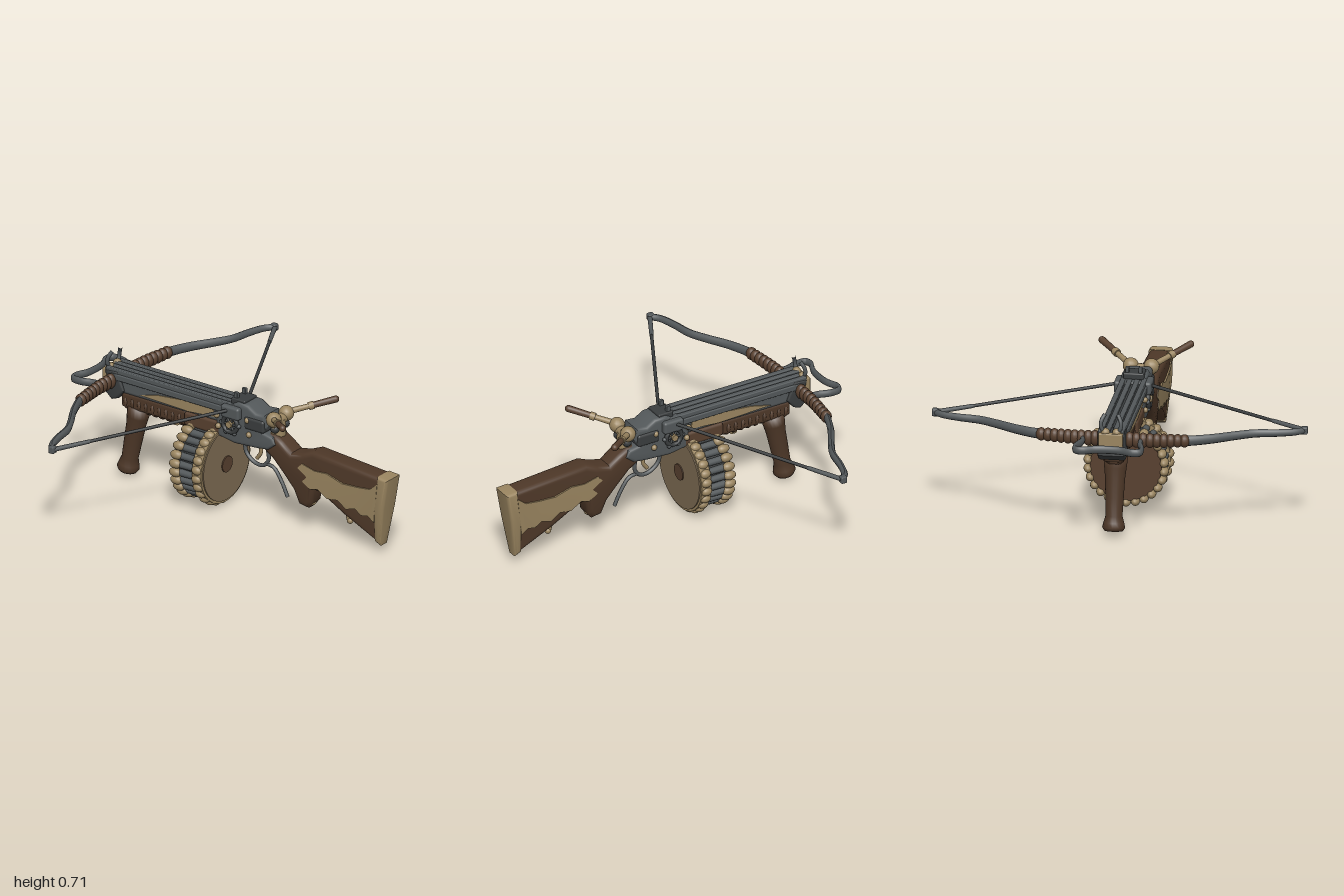
import * as THREE from 'three';
import { toCreasedNormals } from 'three/addons/utils/BufferGeometryUtils.js';
import { RoundedBoxGeometry } from 'three/addons/geometries/RoundedBoxGeometry.js';

const mat = (name, color) => new THREE.MeshStandardMaterial({ name, color });
const V = (x, y, z) => new THREE.Vector3(x, y, z);

export function createModel() {
  const iron = mat('iron', 0x53585a), darkIron = mat('darkIron', 0x3a3d3e);
  const wood = mat('wood', 0x4e3828), bone = mat('bone', 0x9a8560);
  const leather = mat('leather', 0x58402f), drumHide = mat('drumHide', 0x7d6b52);
  const model = new THREE.Group();

  const add = (name, geo, m, parent = model) => {
    const mesh = new THREE.Mesh(geo, m);
    mesh.name = name;
    parent.add(mesh);
    return mesh;
  };
  const group = (name) => {
    const g = new THREE.Group();
    g.name = name;
    model.add(g);
    return g;
  };
  // Rounded box given by its limits in x and y, and centre and width in z
  const box = (name, x0, x1, y0, y1, z, w, m, parent) => {
    const r = Math.min(x1 - x0, y1 - y0, w) * 0.2;
    const b = add(name, new RoundedBoxGeometry(x1 - x0, y1 - y0, w, 2, r), m, parent);
    b.position.set((x0 + x1) / 2, (y0 + y1) / 2, z);
    return b;
  };
  // Side profile extruded across z with rounded edges
  const slab = (pts, width, bevel) => {
    const shape = new THREE.Shape(pts.map(([x, y]) => new THREE.Vector2(x, y)));
    const depth = width - 2 * bevel;
    const g = new THREE.ExtrudeGeometry(shape, { depth, bevelEnabled: bevel > 0, bevelSize: bevel,
      bevelThickness: bevel, bevelOffset: -bevel, bevelSegments: 4 });
    return g.translate(0, 0, -depth / 2);
  };
  // The stock gets thinner toward its toe
  const taper = (g) => {
    const p = g.attributes.position;
    for (let i = 0; i < p.count; i++) {
      p.setZ(i, p.getZ(i) * (0.5 + 0.5 * THREE.MathUtils.smoothstep(p.getY(i), -0.02, 0.3)));
    }
    return toCreasedNormals(g, 0.7);
  };
  const tube = (pts, r, seg = 32) =>
    new THREE.TubeGeometry(new THREE.CatmullRomCurve3(pts), seg, r, 8);
  // Solid round bar between two points
  const bar = (name, a, b, ra, rb, m, parent) => {
    const mesh = add(name, new THREE.CylinderGeometry(rb, ra, a.distanceTo(b), 12), m, parent);
    mesh.position.copy(a).lerp(b, 0.5);
    mesh.quaternion.setFromUnitVectors(V(0, 1, 0), b.clone().sub(a).normalize());
    return mesh;
  };
  const ball = (name, p, r, m, parent) => {
    const mesh = add(name, new THREE.SphereGeometry(r, 14, 10), m, parent);
    mesh.position.copy(p);
    return mesh;
  };

  // Shoulder stock with pistol grip
  const stock = group('stock');
  add('stockBody', taper(slab([[0.12, 0.43], [0.14, 0.49], [0.25, 0.5], [0.3, 0.47], [0.36, 0.425], [0.43, 0.44],
    [0.5, 0.47], [0.96, 0.435], [0.91, 0.05], [0.7, 0.155], [0.55, 0.245], [0.5, 0.25], [0.49, 0.17],
    [0.46, 0.13], [0.4, 0.14], [0.37, 0.22], [0.31, 0.29], [0.24, 0.36], [0.18, 0.4]], 0.12, 0.028)), wood, stock);
  add('wornPatch', taper(slab([[0.41, 0.36], [0.44, 0.39], [0.52, 0.37], [0.6, 0.375], [0.7, 0.345], [0.8, 0.35],
    [0.88, 0.36], [0.93, 0.4], [0.9, 0.17], [0.86, 0.2], [0.82, 0.19], [0.78, 0.22], [0.72, 0.2], [0.67, 0.24],
    [0.6, 0.23], [0.54, 0.27], [0.49, 0.255], [0.44, 0.29], [0.47, 0.32]], 0.128, 0)), bone, stock);
  add('buttPlate', taper(slab([[0.925, 0.44], [0.995, 0.435], [0.965, 0.26], [0.928, 0.035], [0.89, 0.055],
    [0.9, 0.24]], 0.126, 0.018)), bone, stock);
  ball('gripCap', V(0.435, 0.155, 0), 0.038, bone, stock).scale.set(1.3, 0.6, 1);
  bar('slingStud', V(0.69, 0.17, 0), V(0.7, 0.115, 0), 0.012, 0.012, bone, stock);
  ball('slingKnob', V(0.708, 0.112, 0), 0.017, bone, stock);

  // Receiver housing
  const receiver = group('receiver');
  add('housing', toCreasedNormals(slab([[-0.12, 0.41], [-0.12, 0.57], [-0.04, 0.6], [0.02, 0.635], [0.09, 0.63],
    [0.14, 0.6], [0.2, 0.605], [0.215, 0.54], [0.19, 0.5], [0.25, 0.49], [0.27, 0.45], [0.22, 0.41], [0.15, 0.4],
    [0.0, 0.39]], 0.14, 0.02), 0.7), iron, receiver);
  box('magazineCollar', -0.33, -0.08, 0.41, 0.49, 0, 0.14, leather, receiver);
  box('crossBlock', -0.07, 0.05, 0.54, 0.61, 0, 0.2, iron, receiver);
  box('rearBlock', 0.07, 0.2, 0.5, 0.57, 0, 0.16, darkIron, receiver);
  box('sightBase', -0.03, 0.06, 0.61, 0.645, 0, 0.11, darkIron, receiver);
  for (const s of [-1, 1]) {
    box('sightPost', -0.02, 0.005, 0.62, 0.675, s * 0.035, 0.02, iron, receiver);
    // Spoked cog on each side
    const cog = group('cog');
    cog.position.set(-0.015, 0.505, s * 0.082);
    add('cogRim', new THREE.TorusGeometry(0.046, 0.012, 8, 24), darkIron, cog);
    const hub = add('cogHub', new THREE.CylinderGeometry(0.018, 0.018, 0.035, 12), bone, cog);
    hub.rotation.x = Math.PI / 2;
    for (let i = 0; i < 6; i++) {
      const a = i * Math.PI / 3;
      bar('cogSpoke', V(0, 0, 0), V(Math.cos(a) * 0.05, Math.sin(a) * 0.05, 0), 0.007, 0.007, darkIron, cog);
      ball('cogTooth', V(Math.cos(a) * 0.056, Math.sin(a) * 0.056, 0), 0.012, iron, cog);
    }
    for (const [x, y] of [[-0.11, 0.53], [0.09, 0.55], [0.1, 0.47], [-0.1, 0.47]])
      ball('rivet', V(x, y, s * 0.073), 0.016, bone, receiver);
  }

  // Bolt rail with long bars and worn side panels
  const rail = group('rail');
  box('railCore', -0.82, 0, 0.48, 0.585, 0, 0.12, iron, rail);
  box('railBed', -0.8, 0, 0.575, 0.6, 0, 0.13, darkIron, rail);
  for (const z of [-0.056, -0.02, 0.02, 0.056])
    box('railBar', -0.84, 0.0, 0.575, 0.614, z, 0.027, iron, rail);
  for (const s of [-1, 1]) {
    box('sideBar', -0.8, -0.05, 0.555, 0.59, s * 0.064, 0.03, iron, rail);
    const panel = slab([[-0.62, 0.505], [-0.5, 0.535], [-0.35, 0.55], [-0.14, 0.555], [-0.13, 0.51], [-0.3, 0.495]], 0.009, 0);
    add('sidePanel', panel.translate(0, 0, s * 0.061), bone, rail);
  }
  add('noseBlock', toCreasedNormals(slab([[-0.84, 0.6], [-0.76, 0.605], [-0.72, 0.5], [-0.76, 0.45], [-0.8, 0.435],
    [-0.84, 0.47], [-0.83, 0.53]], 0.15, 0.015), 0.7), darkIron, rail);
  box('noseCap', -0.865, -0.835, 0.5, 0.6, 0, 0.13, bone, rail);
  for (const s of [-1, 1]) {
    add('frontHorn', tube([V(-0.835, 0.59, s * 0.025), V(-0.84, 0.625, s * 0.05), V(-0.835, 0.66, s * 0.052),
      V(-0.818, 0.695, s * 0.035)], 0.011, 16), iron, rail);
    ball('hornRoot', V(-0.835, 0.6, s * 0.03), 0.024, bone, rail);
  }

  // Ribbed fore-end and hanging front grip
  const foreEnd = group('foreEnd');
  box('foreEndCore', -0.75, -0.32, 0.4, 0.49, 0, 0.11, wood, foreEnd);
  for (let i = 0; i < 9; i++)
    ball('foreEndRib', V(-0.72 + i * 0.044, 0.435, 0), 0.06, i % 2 ? wood : leather, foreEnd).scale.set(0.42, 0.95, 1.05);
  box('foreEndCap', -0.44, -0.4, 0.37, 0.46, 0, 0.05, bone, foreEnd);
  const grip = add('frontGrip', new THREE.LatheGeometry([[0, 0], [0.05, 0.002], [0.061, 0.02], [0.055, 0.045],
    [0.045, 0.08], [0.049, 0.18], [0.053, 0.28], [0.06, 0.34], [0.066, 0.4], [0, 0.4]]
    .map(([x, y]) => new THREE.Vector2(x, y)), 20), wood);
  grip.position.set(-0.745, 0.02, 0);
  grip.rotation.z = -0.2;

  // Drum magazine ringed with rounds
  const drum = group('drumMagazine');
  drum.position.set(-0.2, 0.225, 0);
  const disc = (name, x0, x1, r, m) => {
    const d = add(name, new THREE.CylinderGeometry(r, r, x1 - x0, 40), m, drum);
    d.rotation.z = Math.PI / 2;
    d.position.x = (x0 + x1) / 2;
  };
  disc('drumCore', -0.1, 0.08, 0.185, darkIron);
  disc('frontHide', -0.108, -0.09, 0.19, leather);
  disc('rearCap', 0.035, 0.095, 0.218, bone);
  disc('rearHide', 0.095, 0.102, 0.205, drumHide);
  disc('rearBoss', 0.1, 0.108, 0.045, leather);
  for (let i = 0; i < 26; i++) {
    const a = i / 26 * Math.PI * 2, c = Math.cos(a), s = Math.sin(a);
    const nose = ball('roundNose', V(-0.085, c * 0.203, s * 0.203), 0.025, bone, drum);
    nose.scale.x = 1.5;
    bar('roundCase', V(-0.06, c * 0.192, s * 0.192), V(0.04, c * 0.192, s * 0.192), 0.02, 0.018, iron, drum);
    ball('capScallop', V(0.062, c * 0.21, s * 0.21), 0.025, bone, drum).scale.x = 1.3;
  }

  // Trigger, guard and lever
  const trigger = group('triggerGuard');
  add('guardLoop', tube([V(0.02, 0.4, 0), V(0.03, 0.33, 0), V(0.08, 0.285, 0), V(0.14, 0.28, 0), V(0.175, 0.32, 0),
    V(0.17, 0.39, 0)], 0.011), iron, trigger);
  add('lever', tube([V(0.16, 0.295, 0), V(0.21, 0.285, 0), V(0.26, 0.22, 0), V(0.3, 0.14, 0)], 0.01), iron, trigger);
  add('triggerBlade', tube([V(0.12, 0.4, 0), V(0.125, 0.35, 0), V(0.1, 0.31, 0)], 0.011, 12), bone, trigger);

  // Cocking handles behind the receiver
  const cocking = group('cockingHandles');
  bar('cockingAxle', V(0.25, 0.575, -0.07), V(0.25, 0.575, 0.07), 0.028, 0.028, bone, cocking);
  bar('cockingPost', V(0.24, 0.49, 0), V(0.25, 0.58, 0), 0.04, 0.03, bone, cocking);
  for (const s of [-1, 1]) {
    ball('cockingJoint', V(0.25, 0.59, s * 0.055), 0.042, bone, cocking);
    ball('lowerKnuckle', V(0.25, 0.535, s * 0.045), 0.025, darkIron, cocking);
    bar('cockingArm', V(0.25, 0.595, s * 0.06), V(0.36, 0.63, s * 0.16), 0.017, 0.014, bone, cocking);
    bar('cockingCollar', V(0.335, 0.622, s * 0.137), V(0.355, 0.629, s * 0.156), 0.022, 0.022, bone, cocking);
    bar('cockingGrip', V(0.355, 0.629, s * 0.156), V(0.44, 0.656, s * 0.235), 0.017, 0.019, leather, cocking);
    ball('cockingTip', V(0.44, 0.656, s * 0.235), 0.019, leather, cocking);
  }

  // Bow limbs, wraps and string, mirrored
  for (const s of [-1, 1]) {
    const limb = group(s > 0 ? 'leftLimb' : 'rightLimb');
    const path = [[-0.79, 0.02], [-0.79, 0.2], [-0.77, 0.38], [-0.72, 0.51], [-0.645, 0.64], [-0.6, 0.73],
      [-0.575, 0.85], [-0.545, 0.94], [-0.505, 0.985]].map(([x, z]) => V(x, 0, z * s));
    const bow = tube(path, 0.018, 60), p = bow.attributes.position;
    for (let i = 0; i < p.count; i++) p.setY(i, p.getY(i) * (2 - Math.abs(p.getZ(i))));
    bow.computeVertexNormals();
    add('bowLimb', bow, iron, limb).position.y = 0.55;
    const curve = new THREE.CatmullRomCurve3(path.slice(0, 3));
    for (let i = 0; i < 9; i++) {
      const q = curve.getPoint(0.2 + i * 0.1);
      ball('limbWrap', V(q.x, 0.55, q.z), 0.032, leather, limb).scale.set(0.95, 1.35 - i * 0.03, 0.9);
    }
    const tip = V(-0.505, 0.55, s * 0.975), nock = V(-0.02, 0.585, s * 0.08);
    bar('string', tip, nock, 0.009, 0.009, darkIron, limb);
    bar('stringServing', tip, tip.clone().lerp(nock, 0.2), 0.013, 0.011, iron, limb);
    box('limbTip', -0.53, -0.495, 0.53, 0.57, s * 0.98, 0.035, iron, limb);
  }

  // Foot stirrup at the nose
  const half = [[-0.78, 0.155], [-0.85, 0.155], [-0.92, 0.175], [-0.975, 0.17], [-0.985, 0.135], [-0.96, 0.07]];
  const loop = [...half, [-0.953, 0], ...half.slice().reverse().map(([x, z]) => [x, -z])];
  const stirrup = add('stirrup', tube(loop.map(([x, z]) => V(x, 0, z)), 0.013, 80), iron);
  stirrup.scale.y = 1.7;
  stirrup.position.y = 0.545;

  return model;
}
